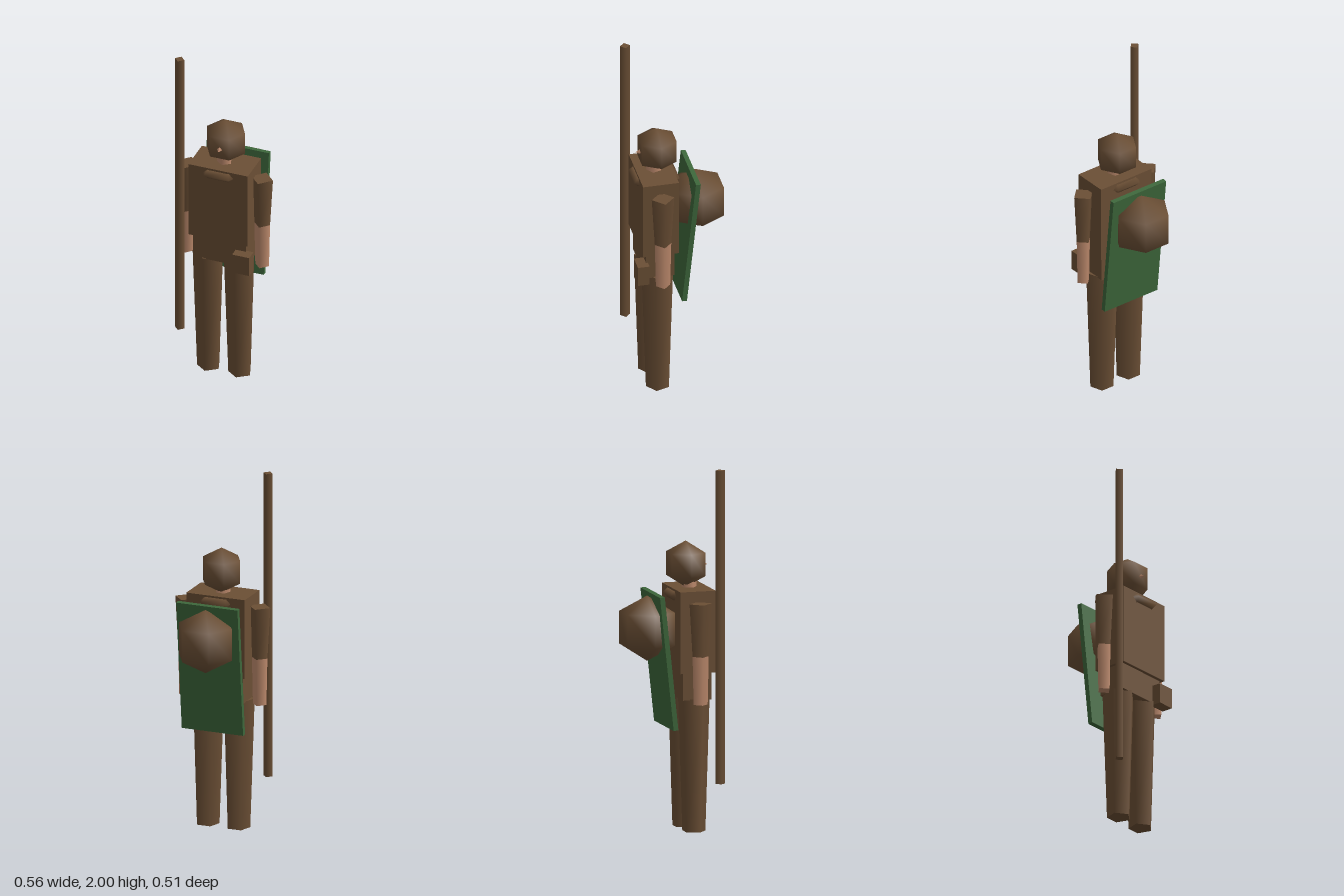
import * as THREE from 'three';

export function createModel() {
  const model = new THREE.Group();
  model.name = 'scout';

  const mat = (name, color) => {
    const m = new THREE.MeshStandardMaterial({ color });
    m.name = name;
    return m;
  };
  const brown = mat('brown', 0x6b4f35);
  const skin = mat('skin', 0xc08c6e);
  const green = mat('green', 0x3d673b);

  const add = (name, geometry, material, x, y, z) => {
    const mesh = new THREE.Mesh(geometry, material);
    mesh.name = name;
    mesh.position.set(x, y, z);
    model.add(mesh);
    return mesh;
  };
  const box = (w, h, d) => new THREE.BoxGeometry(w, h, d);
  // Upright tapered prism between two heights
  const limb = (name, material, rTop, rBottom, y0, y1, sides, x, z) =>
    add(name, new THREE.CylinderGeometry(rTop, rBottom, y1 - y0, sides), material, x, (y0 + y1) / 2, z);

  const bodyZ = 0.117;

  // Body
  add('torso', box(0.346, 0.45, 0.2), brown, 0, 1.105, bodyZ);
  add('hips', box(0.308, 0.15, 0.16), brown, 0, 0.805, bodyZ);
  limb('neck', skin, 0.043, 0.043, 1.3, 1.42, 5, 0, bodyZ);

  // Low-poly head with a pointed nose
  add('head', new THREE.SphereGeometry(0.128, 6, 3), brown, 0, 1.457, 0.099);
  const nose = add('nose', new THREE.ConeGeometry(0.03, 0.05, 4), skin, 0, 1.45, 0.195);
  nose.rotation.x = Math.PI / 2;

  // Six-sided collar ring
  const collar = add('collar', new THREE.TorusGeometry(0.12, 0.026, 4, 6), brown, 0, 1.295, bodyZ);
  collar.rotation.x = Math.PI / 2;

  // Arms and legs, mirrored
  for (const [side, s] of [['left', 1], ['right', -1]]) {
    limb(side + 'Sleeve', brown, 0.063, 0.046, 0.98, 1.27, 4, s * 0.218, bodyZ);
    limb(side + 'Forearm', skin, 0.046, 0.04, 0.715, 0.98, 4, s * 0.218, bodyZ);
    limb(side + 'Leg', brown, 0.09, 0.066, 0, 0.735, 5, s * 0.091, bodyZ);
  }

  // Gear
  add('pouch', box(0.1, 0.115, 0.065), brown, 0.145, 0.773, 0.2185);
  limb('staff', brown, 0.027, 0.027, 0.275, 2, 4, -0.22, 0.227);
  const board = add('backBoard', box(0.363, 0.74, 0.027), green, 0, 0.94, -0.05);
  board.rotation.x = -0.105;
  add('backpack', new THREE.SphereGeometry(0.18, 6, 3), brown, 0, 1.113, -0.12);

  return model;
}
